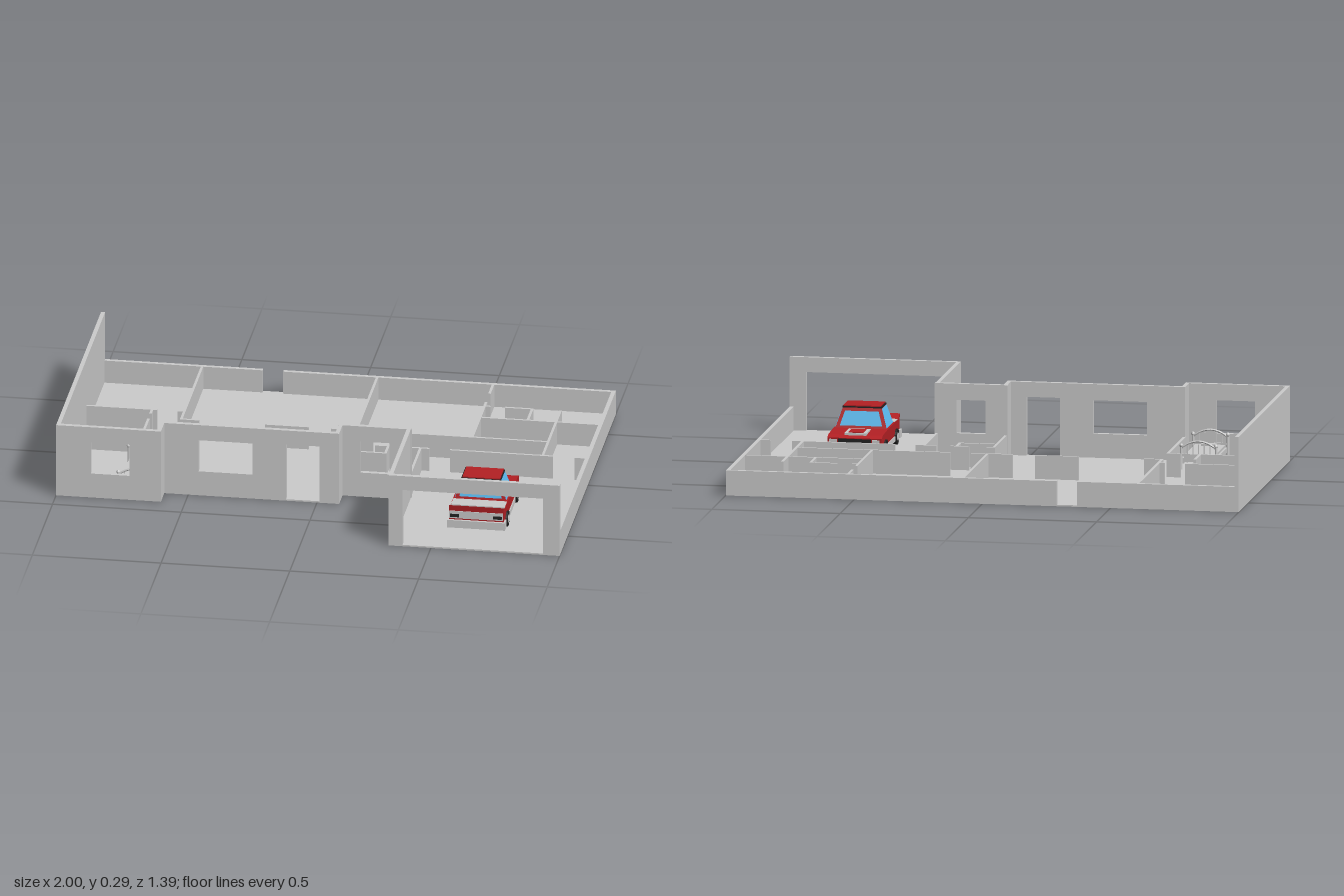
import * as THREE from 'three';

const mat = (color, extra = {}) => new THREE.MeshStandardMaterial({ color, flatShading: true, ...extra });
const GREY = mat(0xcccccc), RED = mat(0xb42024), BLUE = mat(0x5cbcf2), BLACK = mat(0x222222), WHITE = mat(0xe2e2e2);
const HIGH = 0.293, LOW = 0.098, FLOOR = 0.006;

function add(parent, name, geometry, material = GREY) {
  const mesh = new THREE.Mesh(geometry, material);
  mesh.name = name;
  parent.add(mesh);
  return mesh;
}

// Box given by its limits
function block(parent, name, x0, x1, y0, y1, z0, z1, material = GREY) {
  const g = new THREE.BoxGeometry(x1 - x0, y1 - y0, z1 - z0);
  g.translate((x0 + x1) / 2, (y0 + y1) / 2, (z0 + z1) / 2);
  return add(parent, name, g, material);
}

// Box whose bottom and top rectangles [x0, x1, z0, z1] differ
function frustum(parent, name, bottom, y0, top, y1, material) {
  const g = new THREE.BoxGeometry(1, 1, 1), p = g.attributes.position;
  for (let i = 0; i < p.count; i++) {
    const up = p.getY(i) > 0, r = up ? top : bottom;
    p.setXYZ(i, p.getX(i) < 0 ? r[0] : r[1], up ? y1 : y0, p.getZ(i) < 0 ? r[2] : r[3]);
  }
  g.computeVertexNormals();
  return add(parent, name, g, material);
}

// Side profile of [z, y] points, extruded from x0 to x1
function sideProfile(parent, name, points, x0, x1, material) {
  const shape = new THREE.Shape(points.map(([z, y]) => new THREE.Vector2(-z, y)));
  const g = new THREE.ExtrudeGeometry(shape, { depth: x1 - x0, bevelEnabled: false });
  g.rotateY(Math.PI / 2).translate(x0, 0, 0);
  return add(parent, name, g, material);
}

// Tall front wall with an optional window [x0, x1] and door [x0, x1]
function frontWall(parent, name, x0, x1, z, window, door) {
  const pts = [[x0, 0]];
  if (door) pts.push([door[0], 0], [door[0], 0.235], [door[1], 0.235], [door[1], 0]);
  pts.push([x1, 0], [x1, HIGH], [x0, HIGH]);
  const v = (list) => list.map(([x, y]) => new THREE.Vector2(x, y));
  const shape = new THREE.Shape(v(pts));
  if (window) {
    const [a, b] = window;
    shape.holes.push(new THREE.Path(v([[a, 0.1], [a, 0.23], [b, 0.23], [b, 0.1]])));
  }
  const g = new THREE.ExtrudeGeometry(shape, { depth: 0.018, bevelEnabled: false });
  add(parent, name, g.translate(0, 0, z - 0.018));
}

function createHouse() {
  const house = new THREE.Group();
  house.name = 'house';

  // Floor slab
  const outline = [[-1, -0.7], [1, -0.7], [1, 0.695], [0.335, 0.695], [0.335, 0.243],
    [0.086, 0.243], [0.086, 0.327], [-0.593, 0.327], [-0.593, 0.412], [-1, 0.412]];
  const slab = new THREE.ExtrudeGeometry(new THREE.Shape(outline.map(([x, z]) => new THREE.Vector2(x, -z))),
    { depth: FLOOR, bevelEnabled: false });
  add(house, 'floor', slab.rotateX(-Math.PI / 2));

  // Tall outer walls
  frontWall(house, 'bedroomFrontWall', -1, -0.593, 0.412, [-0.865, -0.715]);
  frontWall(house, 'livingFrontWall', -0.593, 0.086, 0.327, [-0.46, -0.25], [-0.12, 0.01]);
  frontWall(house, 'entryFrontWall', 0.068, 0.353, 0.243, [0.155, 0.268]);
  frontWall(house, 'garageFrontWall', 0.335, 1, 0.695, null, [0.39, 0.935]);
  block(house, 'leftOuterWall', -1, -0.984, 0, HIGH, -0.7, 0.4);
  block(house, 'bedroomStepWall', -0.609, -0.593, 0, HIGH, 0.31, 0.4);
  block(house, 'entryStepWall', 0.07, 0.086, 0, HIGH, 0.23, 0.32);
  block(house, 'garageSideWall', 0.335, 0.351, 0, HIGH, 0.23, 0.69);

  // Low outer walls, with a gap for the back door
  block(house, 'rightOuterWall', 0.984, 1, 0, LOW, -0.7, 0.69);
  block(house, 'backWallLeft', -1, -0.37, 0, LOW, -0.7, -0.684);
  block(house, 'backWallRight', -0.29, 1, 0, LOW, -0.7, -0.684);

  // Low partitions running along x: [z, x0, x1, x0, x1, ...]
  const T = 0.005;
  const alongX = [
    [-0.245, -0.985, -0.715, -0.625, -0.605],
    [-0.04, -0.985, -0.73, -0.65, -0.605],
    [-0.17, -0.605, -0.54, -0.275, -0.115, -0.018, 0.135, 0.225, 0.82],
    [-0.035, 0.075, 0.097, 0.175, 0.24, 0.305, 0.375, 0.465, 0.855, 0.95, 0.985],
    [0.035, 0.075, 0.22], [-0.475, 0.525, 0.543, 0.61, 0.71], [-0.365, 0.525, 0.985],
  ];
  // Low partitions running along z: [x, z0, z1, z0, z1, ...]
  const alongZ = [
    [-0.605, -0.685, -0.17, -0.04, 0.32], [-0.73, -0.245, -0.21, -0.15, -0.04],
    [0.075, -0.685, -0.17, -0.035, 0.24], [0.22, -0.035, 0.035], [0.345, -0.035, 0.24],
    [0.525, -0.685, -0.6, -0.51, -0.17], [0.71, -0.475, -0.365], [0.82, -0.47, -0.035],
  ];
  for (const [z, ...s] of alongX) for (let i = 0; i < s.length; i += 2)
    block(house, 'partition', s[i] - T, s[i + 1] + T, 0, LOW, z - T, z + T);
  for (const [x, ...s] of alongZ) for (let i = 0; i < s.length; i += 2)
    block(house, 'partition', x - T, x + T, 0, LOW, s[i] - T, s[i + 1] + T);
  return house;
}

function createBed() {
  const bed = new THREE.Group();
  bed.name = 'bed';
  const cx = -0.695;
  block(bed, 'mattress', cx - 0.058, cx + 0.058, 0.035, 0.06, 0.125, 0.38);
  block(bed, 'pillow', cx - 0.03, cx + 0.03, 0.06, 0.068, 0.338, 0.362);
  for (const s of [-1, 1]) {
    const x = cx + s * 0.061;
    block(bed, 'sideRail', x - 0.004, x + 0.004, 0.03, 0.05, 0.125, 0.38);
  }
  // Posts and arched rail at each end
  for (const z of [0.123, 0.38]) {
    for (const s of [-1, 1]) {
      const post = add(bed, 'post', new THREE.CylinderGeometry(0.005, 0.005, 0.09, 8));
      post.position.set(cx + s * 0.068, 0.05, z);
      const knob = add(bed, 'knob', new THREE.SphereGeometry(0.008, 8, 6));
      knob.position.set(cx + s * 0.068, 0.1, z);
    }
    const arch = new THREE.QuadraticBezierCurve3(new THREE.Vector3(cx - 0.068, 0.09, z),
      new THREE.Vector3(cx, 0.145, z), new THREE.Vector3(cx + 0.068, 0.09, z));
    add(bed, 'archRail', new THREE.TubeGeometry(arch, 12, 0.004, 6));
    block(bed, 'lowerRail', cx - 0.068, cx + 0.068, 0.06, 0.067, z - 0.003, z + 0.003);
    for (let i = -2; i <= 2; i++)
      block(bed, 'spindle', cx + i * 0.022 - 0.002, cx + i * 0.022 + 0.002, 0.035, 0.106, z - 0.002, z + 0.002);
  }
  return bed;
}

function createCar() {
  const car = new THREE.Group();
  car.name = 'car';
  const cx = 0.65;

  // Body with wheel arches, nose towards the back of the house
  const arch = (z) => [[z + 0.036, 0.025], [z + 0.028, 0.052], [z, 0.063], [z - 0.028, 0.052], [z - 0.036, 0.025]];
  sideProfile(car, 'body', [[0.145, 0.03], [0.14, 0.083], [0.165, 0.092], [0.28, 0.097], [0.43, 0.097],
    [0.49, 0.095], [0.532, 0.113], [0.525, 0.03], ...arch(0.45), ...arch(0.215)], cx - 0.106, cx + 0.106, RED);
  for (const s of [-1, 1]) {
    const x = cx + s * 0.107;
    block(car, 'sill', x - 0.003, x + 0.003, 0.025, 0.045, 0.252, 0.413, WHITE);
    for (const z of [0.215, 0.45]) {
      const tyre = add(car, 'wheel', new THREE.CylinderGeometry(0.031, 0.031, 0.03, 16).rotateZ(Math.PI / 2), BLACK);
      tyre.position.set(cx + s * 0.098, 0.037, z);
      const hub = add(car, 'hub', new THREE.CylinderGeometry(0.016, 0.016, 0.004, 12).rotateZ(Math.PI / 2), WHITE);
      hub.position.set(cx + s * 0.113, 0.037, z);
    }
    // Lights
    block(car, 'tailLight', cx + s * 0.083 - 0.017, cx + s * 0.083 + 0.017, 0.066, 0.078, 0.53, 0.536, BLACK);
    block(car, 'headlight', cx + s * 0.083 - 0.015, cx + s * 0.083 + 0.015, 0.06, 0.078, 0.137, 0.145, WHITE);
  }

  // Nose, tail and bonnet trim
  block(car, 'grille', cx - 0.064, cx + 0.064, 0.058, 0.08, 0.137, 0.145, BLACK);
  block(car, 'frontBumper', cx - 0.113, cx + 0.113, 0.027, 0.05, 0.135, 0.17, WHITE);
  block(car, 'rearBumper', cx - 0.113, cx + 0.113, 0.022, 0.053, 0.5, 0.537, WHITE);
  block(car, 'rearPanel', cx - 0.104, cx + 0.104, 0.06, 0.09, 0.51, 0.533, WHITE);
  block(car, 'bootLid', cx - 0.104, cx + 0.104, 0.09, 0.099, 0.43, 0.49, WHITE);
  block(car, 'bonnetPanel', cx - 0.043, cx + 0.043, 0.085, 0.099, 0.16, 0.26, WHITE);
  block(car, 'bonnetScoop', cx - 0.029, cx + 0.029, 0.09, 0.102, 0.168, 0.235, RED);

  // Cabin: a red frame with panes standing slightly proud on each side
  const low = 0.095, high = 0.174;
  const rect = (y, dx, dz) => {
    const t = (y - low) / (high - low), m = (a, b) => a + (b - a) * t;
    return [cx - m(0.1, 0.075) - dx, cx + m(0.1, 0.075) + dx, m(0.277, 0.305) - dz, m(0.425, 0.405) + dz];
  };
  const layer = (name, y0, y1, dx, dz, material) =>
    frustum(car, name, rect(y0, dx, dz), y0, rect(y1, dx, dz), y1, material);
  layer('cabinFrame', low, high, 0, 0, RED);
  layer('sideWindows', 0.099, 0.17, 0.002, -0.006, BLUE);
  layer('windscreens', 0.106, 0.16, -0.014, 0.002, BLUE);
  block(car, 'roofTrim', cx - 0.077, cx + 0.077, 0.172, 0.177, 0.303, 0.408, BLACK);
  block(car, 'roof', cx - 0.073, cx + 0.073, 0.174, 0.181, 0.306, 0.405, RED);
  return car;
}

export function createModel() {
  const model = new THREE.Group();
  model.name = 'openHouse';
  model.add(createHouse(), createBed(), createCar());
  return model;
}
